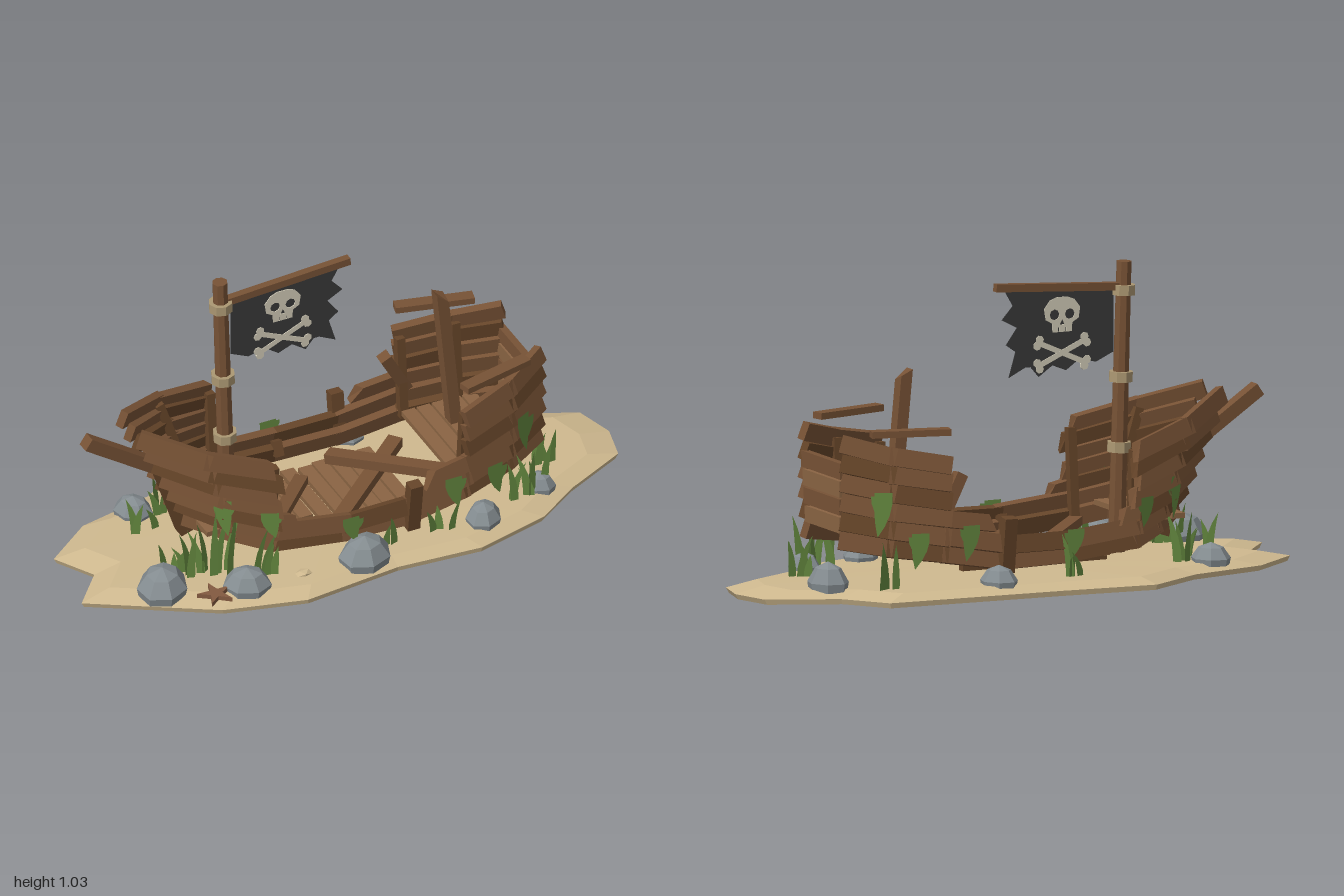
import * as THREE from 'three';

const mat = (name, color, double) => new THREE.MeshStandardMaterial({
  name, color, flatShading: true, side: double ? THREE.DoubleSide : THREE.FrontSide });
const M = {
  light: mat('lightWood', 0x8a6443), mid: mat('wood', 0x775235), dark: mat('darkWood', 0x664529),
  sand: mat('sand', 0xcfb98f), rock: mat('rock', 0x848c90), weed: mat('seaweed', 0x64883f, true),
  cloth: mat('cloth', 0x383838, true), bone: mat('bone', 0xd2ccb8), rope: mat('rope', 0xab9772),
  star: mat('starfish', 0x835a40),
};
const V = (x, y, z) => new THREE.Vector3(x, y, z);

export function createModel() {
  const root = new THREE.Group();
  let seed = 7;
  const rnd = () => (seed = (seed * 16807) % 2147483647) / 2147483647;
  const add = (name, geo, material, parent = root) => {
    const m = new THREE.Mesh(geo, material);
    m.name = name;
    parent.add(m);
    return m;
  };
  const group = (name) => {
    const g = new THREE.Group();
    g.name = name;
    root.add(g);
    return g;
  };

  // Box from a to b; broken pulls back the upper corners of the far end into a splinter
  const beam = (name, a, b, w, h, material, parent, { up = V(0, 1, 0), broken = 0 } = {}) => {
    const len = a.distanceTo(b), geo = new THREE.BoxGeometry(w, h, len), p = geo.attributes.position;
    if (broken) for (let i = 0; i < p.count; i++) {
      if (p.getZ(i) > 0 && p.getY(i) > 0) p.setZ(i, p.getZ(i) - broken * (p.getX(i) > 0 ? 1 : 0.6));
    }
    const dir = b.clone().sub(a).normalize();
    const side = up.clone().cross(dir).normalize();
    geo.applyMatrix4(new THREE.Matrix4().makeBasis(side, dir.clone().cross(side), dir));
    const m = add(name, geo, material, parent);
    m.position.copy(a).add(b).multiplyScalar(0.5);
    return m;
  };

  // Sandbank
  const outline = [[-1, .13], [-.89, 0], [-.97, -.14], [-.8, -.27], [-.53, -.33], [-.33, -.45], [0, -.42],
    [.62, -.385], [.73, -.24], [.96, -.14], [1, 0], [.97, .13], [.75, .24], [.59, .35], [.33, .42],
    [.03, .4], [-.32, .44], [-.6, .37], [-.8, .25]].reverse();
  const rings = [[.99, 0], [1, .018], [.89, .04]].map(([s, y]) => outline.map(([x, z]) => V(x * s, y, z * s)));
  const tris = [];
  outline.forEach((_, i) => {
    const j = (i + 1) % outline.length;
    for (let k = 0; k < 2; k++) {
      const [a, b, c, d] = [rings[k][i], rings[k][j], rings[k + 1][j], rings[k + 1][i]];
      tris.push(a, b, c, a, c, d);
    }
    tris.push(V(0, .045, 0), rings[2][i], rings[2][j], V(0, 0, 0), rings[0][j], rings[0][i]);
  });
  const sandGeo = new THREE.BufferGeometry().setFromPoints(tris);
  sandGeo.computeVertexNormals();
  add('sandbank', sandGeo, M.sand);

  // Hull stations, bow to stern: x, x per row, half width, height, height per row
  const stations = [[-.58, -.028, .07, .2, .06], [-.46, -.018, .195, .165, .055], [-.35, 0, .265, .135, .05],
    [-.1, 0, .285, .11, .05], [.13, 0, .285, .105, .055], [.35, 0, .27, .14, .06],
    [.53, 0, .22, .165, .062], [.67, 0, .145, .19, .065]];
  const hullPoint = (s, row, side) => {
    const [x, dx, w, y, dy] = stations[s];
    return V(x + dx * row, y + dy * row, side * w * (row === 0 ? .9 : row === 1 ? .97 : 1));
  };
  const woods = [M.mid, M.dark, M.mid, M.light];
  for (const side of [1, -1]) {
    const hull = group(side > 0 ? 'frontHullSide' : 'backHullSide');
    const up = V(0, 1, -side * .25);
    for (let s = 0; s < 7; s++) {
      const rows = s < 2 ? 7 : s < 5 ? 2 : 6;
      for (let r = 0; r < rows; r++) {
        const a = hullPoint(s, r, side), b = hullPoint(s + 1, r, side);
        const d = b.clone().sub(a).normalize();
        const stub = s === 1 && r > 1;
        a.addScaledVector(d, -.012);
        b.addScaledVector(d, stub ? rnd() * .05 : .012);
        a.y += (rnd() - .5) * .01;
        beam('hullPlank', a, b, .028, .06, woods[(r + s * 2) % 3], hull, { up, broken: stub ? .04 : 0 });
      }
    }
    // Splintered plank stubs beside the raised ends
    beam('brokenPlank', hullPoint(5, 2, side), V(.18, .235, side * .28), .026, .055, M.mid, hull, { up, broken: .05 });
    beam('brokenPlank', hullPoint(2, 2, side), V(-.27, .215, side * .275), .026, .05, M.mid, hull, { up, broken: .04 });
    // Ribs
    beam('rib', V(.14, .07, side * .275), V(.14, .255, side * .3), .045, .04, M.dark, hull);
    for (const [s, rows] of [[1, 6], [2, 6], [3, 1], [5, 5], [6, 5]]) {
      const a = hullPoint(s, 0, side * .9), b = hullPoint(s, rows, side * .91);
      beam('innerRib', a, b, .03, .03, M.dark, hull, { up: V(1, 0, 0) });
    }
    // Stern railing
    beam('railing', V(.34, .553, side * .262), V(.6, .553, side * .2), .045, .022, M.mid, hull);
    for (const [x, z] of [[.365, .255], [.46, .235], [.575, .205]])
      beam('railingPost', V(x, .4, side * z), V(x, .545, side * z), .028, .028, M.dark, hull);
  }

  // Transom
  const transom = group('transom');
  for (let i = 0; i < 4; i++)
    beam('transomPlank', V(.668 + i * .002, .243 + i * .061, -.13 - i * .005),
      V(.668 + i * .002, .243 + i * .061, .13 + i * .005), .025, .054, i % 2 ? M.mid : M.light, transom);
  for (const z of [-.1, .1]) beam('transomPost', V(.648, .2, z), V(.648, .45, z), .025, .025, M.dark, transom);

  // Deck boards: bow, middle and stern
  const deck = group('deck');
  const board = (x, y, z0, z1) => beam('deckBoard', V(x, y, z0), V(x, y + (rnd() - .5) * .006, z1), .048, .018, M.light, deck);
  for (const x of [-.54, -.485, -.43]) board(x, .19, -.18, .18);
  [-.27, -.215, -.16, -.1, -.04, .015, .07, .125, .18].forEach((x, i) =>
    board(x, .085, -.17 + (i % 3 === 1 ? .01 : 0), i === 2 ? .1 : .17));
  for (const x of [.345, .4, .455, .51, .565]) board(x, .19, -.17, .17);
  for (const z of [-.12, .12]) beam('deckJoist', V(-.3, .066, z), V(.23, .066, z), .03, .02, M.dark, deck);

  // Fallen and leaning timbers
  const timbers = group('looseTimbers');
  beam('fallenTimber', V(-.1, .1, .2), V(.27, .135, -.11), .05, .035, M.mid, timbers);
  beam('fallenTimber', V(.03, .135, -.13), V(.3, .195, .2), .05, .035, M.mid, timbers);
  beam('fallenTimber', V(-.35, .13, .2), V(-.09, .11, -.08), .045, .03, M.mid, timbers);
  beam('leaningTimber', V(.455, .18, -.05), V(.4, .735, -.045), .045, .04, M.mid, timbers, { up: V(1, 0, 0), broken: .04 });
  beam('leaningTimber', V(.37, .24, -.24), V(.28, .4, -.22), .04, .04, M.mid, timbers, { up: V(1, 0, 0) });

  // Bowsprit and stem
  beam('bowsprit', V(-.55, .31, 0), V(-.92, .56, 0), .045, .045, M.mid);
  beam('stem', V(-.56, .1, 0), V(-.66, .4, 0), .05, .045, M.dark);

  // Mast with rope bands and yard
  const mast = group('mast');
  mast.position.set(-.385, .06, -.03);
  mast.rotation.z = .03;
  add('mastPole', new THREE.CylinderGeometry(.026, .03, .97, 8), M.mid, mast).position.y = .485;
  for (const y of [.35, .585, .875])
    add('ropeBand', new THREE.CylinderGeometry(.041, .041, .034, 8), M.rope, mast).position.y = y;
  beam('yard', V(-.42, .945, -.03), V(.06, .975, -.03), .026, .026, M.mid);

  // Torn flag with skull and crossed bones
  const plate = (pts, depth, holes = []) => {
    const s = new THREE.Shape(pts.map(([x, y]) => new THREE.Vector2(x, y)));
    s.holes = holes.map((h) => new THREE.Path(h.map(([x, y]) => new THREE.Vector2(x, y))));
    return new THREE.ExtrudeGeometry(s, { depth, bevelEnabled: false }).translate(0, 0, -depth / 2);
  };
  const flag = group('flag');
  flag.position.z = -.03;
  add('flagCloth', plate([[-.375, .94], [.025, .962], [-.005, .91], [.035, .865], [-.02, .835], [.02, .78],
    [-.015, .755], [.01, .67], [-.05, .70], [-.07, .7], [-.1, .665], [-.15, .7], [-.2, .68], [-.25, .715],
    [-.31, .7], [-.375, .73]], .003), M.cloth, flag);
  const emblem = new THREE.Group();
  emblem.name = 'flagEmblem';
  emblem.position.set(-.185, .865, 0);
  flag.add(emblem);
  const ring = (cx, cy, r, n) => Array.from({ length: n }, (_, i) =>
    [cx + r * Math.cos(i / n * 6.2832), cy + r * Math.sin(i / n * 6.2832)]);
  add('skull', plate([[-.035, -.055], [.035, -.055], [.037, -.025], [.06, -.012], [.066, .025], [.045, .052],
    [.02, .062], [-.02, .062], [-.045, .052], [-.066, .025], [-.06, -.012], [-.037, -.025]], .009,
  [ring(-.028, .004, .018, 8), ring(.028, .004, .018, 8), [[-.009, -.03], [.009, -.03], [0, -.012]],
    [[-.015, -.053], [-.011, -.053], [-.011, -.04], [-.015, -.04]],
    [[.011, -.053], [.015, -.053], [.015, -.04], [.011, -.04]]]), M.bone, emblem);
  for (const d of [1, -1]) {
    const bone = new THREE.Group();
    bone.name = 'crossedBone';
    bone.position.y = -.125;
    bone.rotation.z = d * .42;
    emblem.add(bone);
    add('boneShaft', new THREE.BoxGeometry(.19, .018, d > 0 ? .008 : .009), M.bone, bone);
    for (const x of [-.095, .095]) for (const y of [-.011, .011])
      add('boneKnob', plate(ring(x, y, .015, 7), d > 0 ? .008 : .009), M.bone, bone);
  }

  // Rocks: x, z, radius, top
  const rocks = group('rocks');
  for (const [x, z, r, top] of [[-.74, .205, .1, .13], [-.48, .31, .083, .115], [-.06, .335, .097, .13],
    [.39, .305, .07, .11], [.64, .215, .055, .1], [.73, -.145, .073, .13], [.19, -.325, .066, .105], [-.63, -.24, .07, .105]]) {
    const h = top - .03;
    const geo = new THREE.LatheGeometry([[.93, 0], [1, .3], [.62, .78], [0, 1]].map(([a, b]) => new THREE.Vector2(a * r, b * h)), 7);
    const rock = add('rock', geo, M.rock, rocks);
    rock.position.set(x, .03, z);
    rock.rotation.y = rnd() * 6;
    rock.scale.z = .85;
  }
  for (const [x, z] of [[-.28, .325], [.72, -.07]]) {
    const p = add('pebble', new THREE.IcosahedronGeometry(.032, 0), M.sand, rocks);
    p.position.set(x, .04, z);
    p.scale.set(1, .5, .7);
  }

  // Starfish
  const starPts = Array.from({ length: 10 }, (_, i) => ring(0, 0, i % 2 ? .022 : .062, 10)[i]);
  const starfish = add('starfish', plate(starPts, .016), M.star);
  starfish.rotation.set(-Math.PI / 2, 0, .3);
  starfish.position.set(-.6, .05, .32);

  // Seaweed tufts: x, z, height, blade count
  const weeds = group('seaweed');
  const blade = (x, y, z, h, lean, turn, w = .02) => {
    const s = new THREE.Shape();
    s.moveTo(-w, 0);
    s.quadraticCurveTo(-w * 1.2, h * .5, lean, h);
    s.quadraticCurveTo(w * 1.2, h * .5, w, 0);
    const m = add('seaweedBlade', new THREE.ShapeGeometry(s, 4), M.weed, weeds);
    m.position.set(x, y, z);
    m.rotation.y = turn;
  };
  for (const [x, z, h, n] of [[-.66, .14, .15, 4], [-.6, .17, .21, 4], [-.53, .21, .25, 4], [-.4, .275, .17, 4],
    [.06, .3, .12, 2], [.25, .3, .11, 3], [.56, .26, .17, 4], [.61, .23, .2, 4], [.71, .09, .13, 4],
    [.55, -.26, .18, 4], [-.1, -.31, .14, 3], [-.55, -.2, .19, 4], [-.64, -.13, .14, 3]])
    for (let i = 0; i < n; i++)
      blade(x + (rnd() - .5) * .08, .035, z + (rnd() - .5) * .03, h * (.6 + rnd() * .5), (rnd() - .5) * .1, (rnd() - .5) * 1.2, .014);
  // Strands hanging on the planks: x, top, z, length, turn
  for (const side of [1, -1])
    for (const [x, y, z, l, t] of [[-.52, .33, .205, .14, -.6], [-.38, .28, .275, .1, -.4], [-.1, .2, .312, .1, 0],
      [.28, .24, .305, .12, 0], [.45, .22, .27, .12, .2], [.57, .36, .235, .15, .5]]) {
      blade(x, y, side * z, -l, .02, side * t, .03);
      blade(x + .02, y - .01, side * (z + .004), -l * .6, -.02, side * t, .025);
    }
  return root;
}
